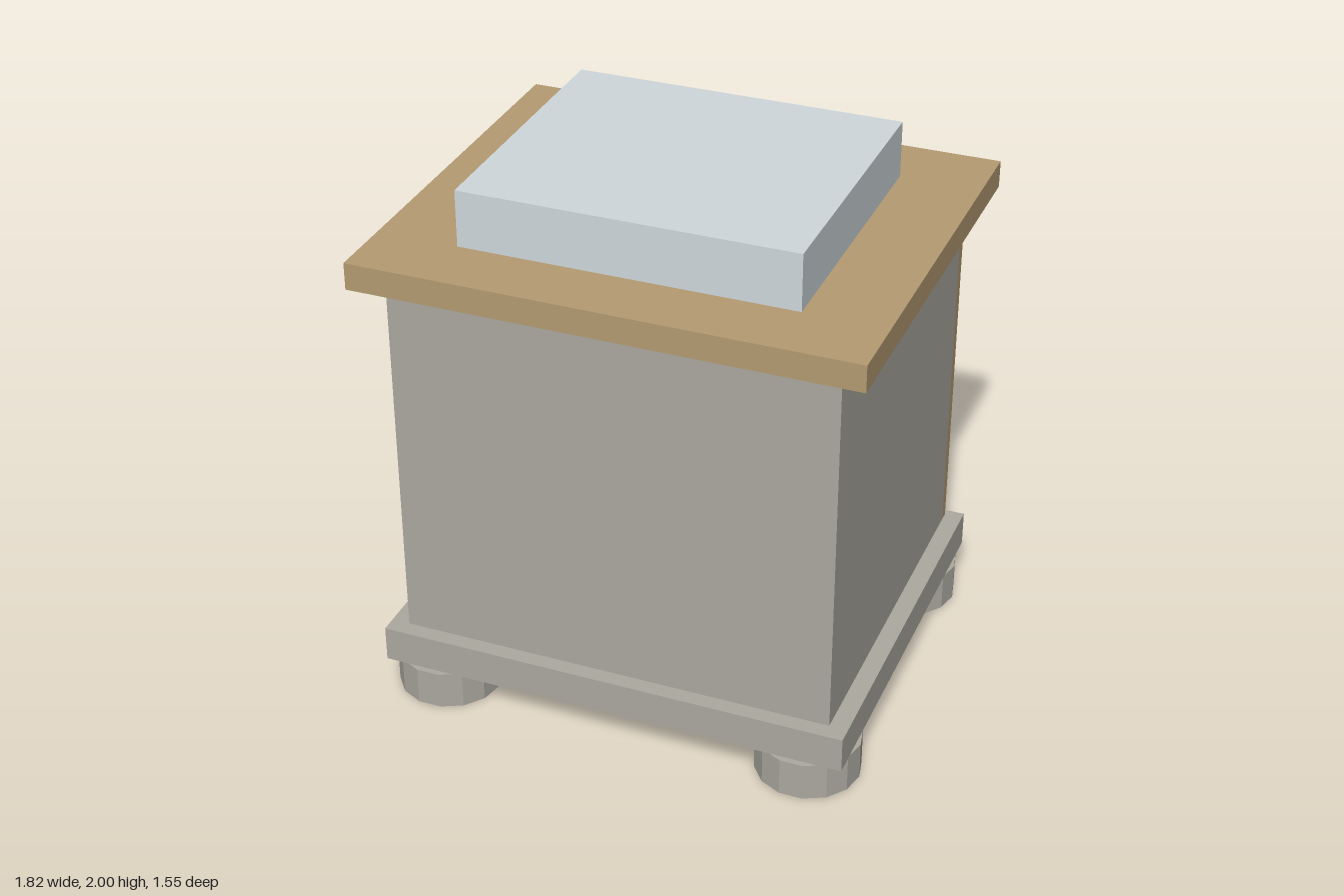
import * as THREE from 'three';

const paint = (color) => new THREE.MeshStandardMaterial({ color, flatShading: true });

export function createModel() {
  const model = new THREE.Group();
  model.name = 'cabinet';
  const stone = paint(0xaba99f);
  const wood = paint(0xb59b73);
  const darkWood = paint(0x9a7c55);
  const pale = paint(0xd0d8dc);

  // Box given by its limits along each axis
  const slab = (name, material, [x0, x1], [y0, y1], [z0, z1]) => {
    const mesh = new THREE.Mesh(new THREE.BoxGeometry(x1 - x0, y1 - y0, z1 - z0), material);
    mesh.position.set((x0 + x1) / 2, (y0 + y1) / 2, (z0 + z1) / 2);
    mesh.name = name;
    model.add(mesh);
  };

  // Round feet
  const footGeometry = new THREE.CylinderGeometry(0.192, 0.192, 0.145, 14).rotateY(Math.PI / 2);
  for (const x of [-0.7, 0.7]) {
    for (const z of [-0.575, 0.585]) {
      const foot = new THREE.Mesh(footGeometry, stone);
      foot.position.set(x, 0.0725, z);
      foot.name = 'foot';
      model.add(foot);
    }
  }

  // Carcass, from the plinth up
  slab('plinth', stone, [-0.875, 0.875], [0.145, 0.28], [-0.74, 0.75]);
  slab('body', stone, [-0.807, 0.807], [0.28, 1.69], [-0.675, 0.69]);
  slab('worktop', wood, [-0.912, 0.912], [1.69, 1.79], [-0.77, 0.775]);
  slab('topBlock', pale, [-0.612, 0.612], [1.79, 2], [-0.525, 0.53]);

  // Posts either side of the door
  for (const s of [-1, 1]) {
    const xs = [s * 0.702, s * 0.807].sort((a, b) => a - b);
    slab('doorPost', wood, xs, [0.28, 1.69], [-0.712, -0.675]);
  }

  // Door with handle and hinges
  slab('door', darkWood, [-0.702, 0.702], [0.28, 1.335], [-0.732, -0.675]);
  slab('handle', wood, [0.35, 0.63], [0.78, 0.845], [-0.775, -0.732]);
  for (const y of [0.38, 0.997]) {
    slab('hinge', wood, [-0.64, -0.555], [y, y + 0.245], [-0.775, -0.732]);
  }

  return model;
}
